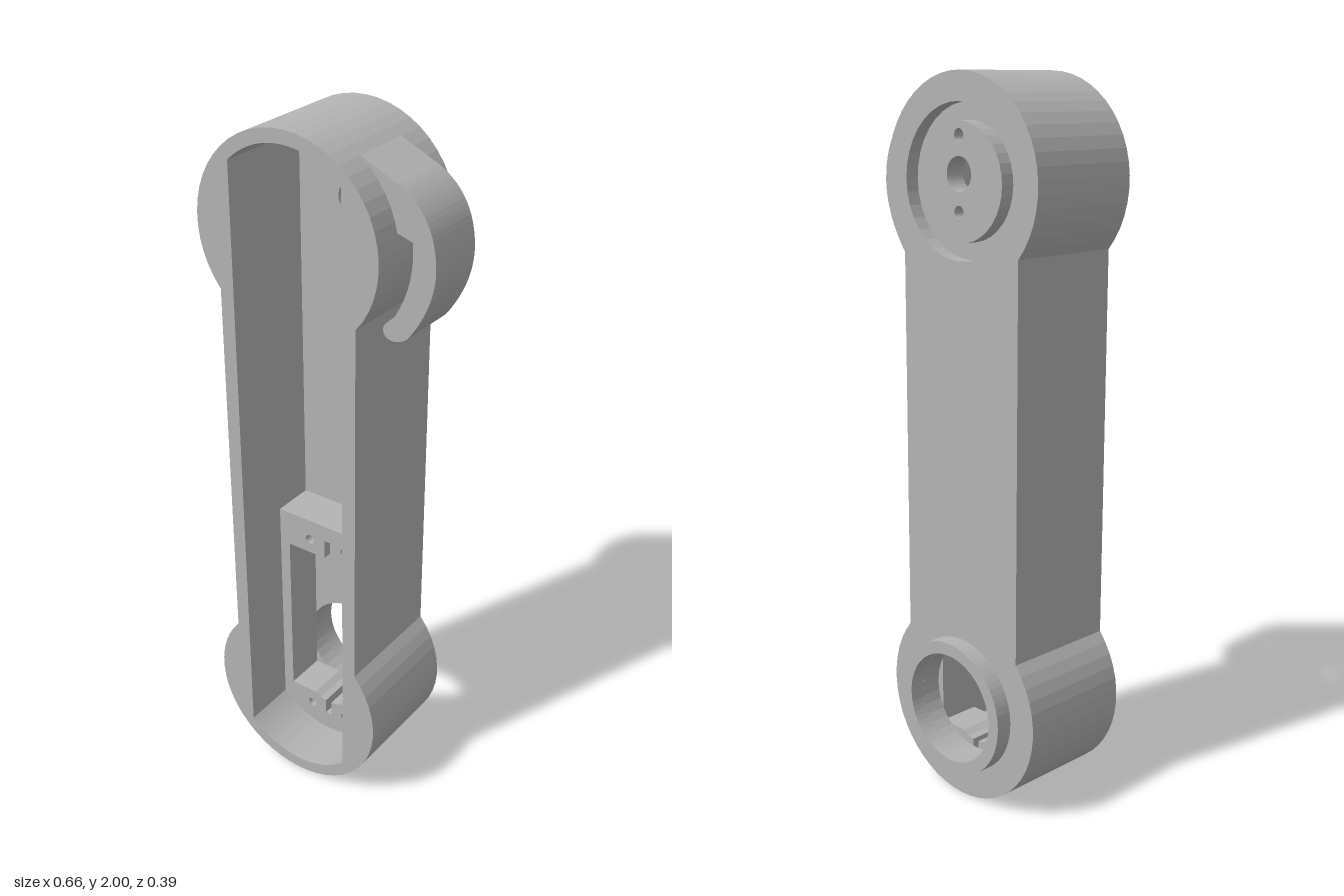
import * as THREE from 'three';

const TOP = 1.722, LOW = 0.278, CX = -0.053;   // pivot heights and centre line
const BACK = -0.147, FRONT = 0.197, FLOOR = -0.09;

export function createModel() {
  const model = new THREE.Group();
  const grey = new THREE.MeshStandardMaterial({ color: 0xb4b4b4 });
  grey.name = 'grey plastic';

  // Extrude a shape between two depths
  function slab(name, shape, z0, z1, segments = 18) {
    const geo = new THREE.ExtrudeGeometry(shape, {
      depth: z1 - z0, bevelEnabled: false, curveSegments: segments,
    });
    const mesh = new THREE.Mesh(geo, grey);
    mesh.name = name;
    mesh.position.set(CX, 0, z0);
    model.add(mesh);
  }

  const circle = (x, y, r, Type = THREE.Path) => new Type().absarc(x, y, r, 0, Math.PI * 2, false);

  // Strip with a round head at each end; bulge 1 swells past the strip, -1 caps it
  function link(Type, half, r, bulge) {
    const a = Math.acos(half / r) * bulge;
    const p = new Type();
    p.absarc(0, TOP, r, -a, Math.PI + a, false);
    p.absarc(0, LOW, r, Math.PI - a, Math.PI * 2 + a, false);
    p.closePath();
    return p;
  }
  const outline = (...holes) => {
    const s = link(THREE.Shape, 0.212, 0.278, 1);
    s.holes.push(...holes);
    return s;
  };
  const pivotHoles = () => [
    circle(0, 1.743, 0.045), circle(0, 1.84, 0.017), circle(0, 1.646, 0.017),
  ];
  const bore = () => circle(0, LOW, 0.157);

  // Hollow shell: back skin with round groove, floor, and side walls
  const grooveFloor = -0.107;
  slab('backSkin', outline(circle(0, TOP, 0.202), bore()), BACK, grooveFloor);
  slab('floorPlate', outline(...pivotHoles(), bore()), grooveFloor, FLOOR);
  slab('sideWalls', outline(link(THREE.Path, 0.17, 0.241, -1)), FLOOR, FRONT);

  // Raised hub inside the groove
  const hub = circle(0, TOP, 0.155, THREE.Shape);
  hub.holes.push(...pivotHoles());
  slab('pivotHub', hub, BACK, grooveFloor);

  // Collar around the lower bore
  const collar = circle(0, LOW, 0.193, THREE.Shape);
  collar.holes.push(bore());
  slab('boreCollar', collar, -0.195, BACK, 32);

  // Motor mount block with pocket, centre slots and screw holes
  const a = Math.acos(0.17 / 0.241);
  const mount = new THREE.Shape();
  mount.moveTo(0.17, 0.795);
  mount.lineTo(-0.17, 0.795);
  mount.absarc(0, LOW, 0.241, Math.PI + a, Math.PI * 2 - a, false);
  mount.closePath();
  const pocket = new THREE.Path([
    [-0.137, 0.158], [-0.05, 0.158], [-0.03, 0.147], [-0.01, 0.143], [-0.01, 0.095],
    [0.01, 0.095], [0.01, 0.143], [0.03, 0.147], [0.05, 0.158], [0.137, 0.158],
    [0.137, 0.685], [0.01, 0.685], [0.01, 0.745], [-0.01, 0.745], [-0.01, 0.685], [-0.137, 0.685],
  ].map(([x, y]) => new THREE.Vector2(x, y)));
  mount.holes.push(pocket);
  for (const x of [-0.062, 0.062])
    for (const y of [0.11, 0.73]) mount.holes.push(circle(x, y, 0.014));
  slab('motorMount', mount, FLOOR, 0.035);

  // Curved cable hook on the upper side
  const hook = new THREE.Shape();
  hook.moveTo(0.143, 1.956);
  hook.lineTo(0.275, 1.897);
  hook.quadraticCurveTo(0.383, 1.84, 0.383, 1.70);
  hook.quadraticCurveTo(0.38, 1.61, 0.31, 1.515);
  hook.bezierCurveTo(0.285, 1.485, 0.225, 1.485, 0.237, 1.53);
  hook.quadraticCurveTo(0.255, 1.55, 0.268, 1.56);
  hook.quadraticCurveTo(0.316, 1.64, 0.318, 1.73);
  hook.lineTo(0.316, 1.765);
  hook.lineTo(0.25, 1.785);
  hook.lineTo(0.205, 1.85);
  hook.closePath();
  slab('cableHook', hook, -0.063, 0.112, 16);

  return model;
}
